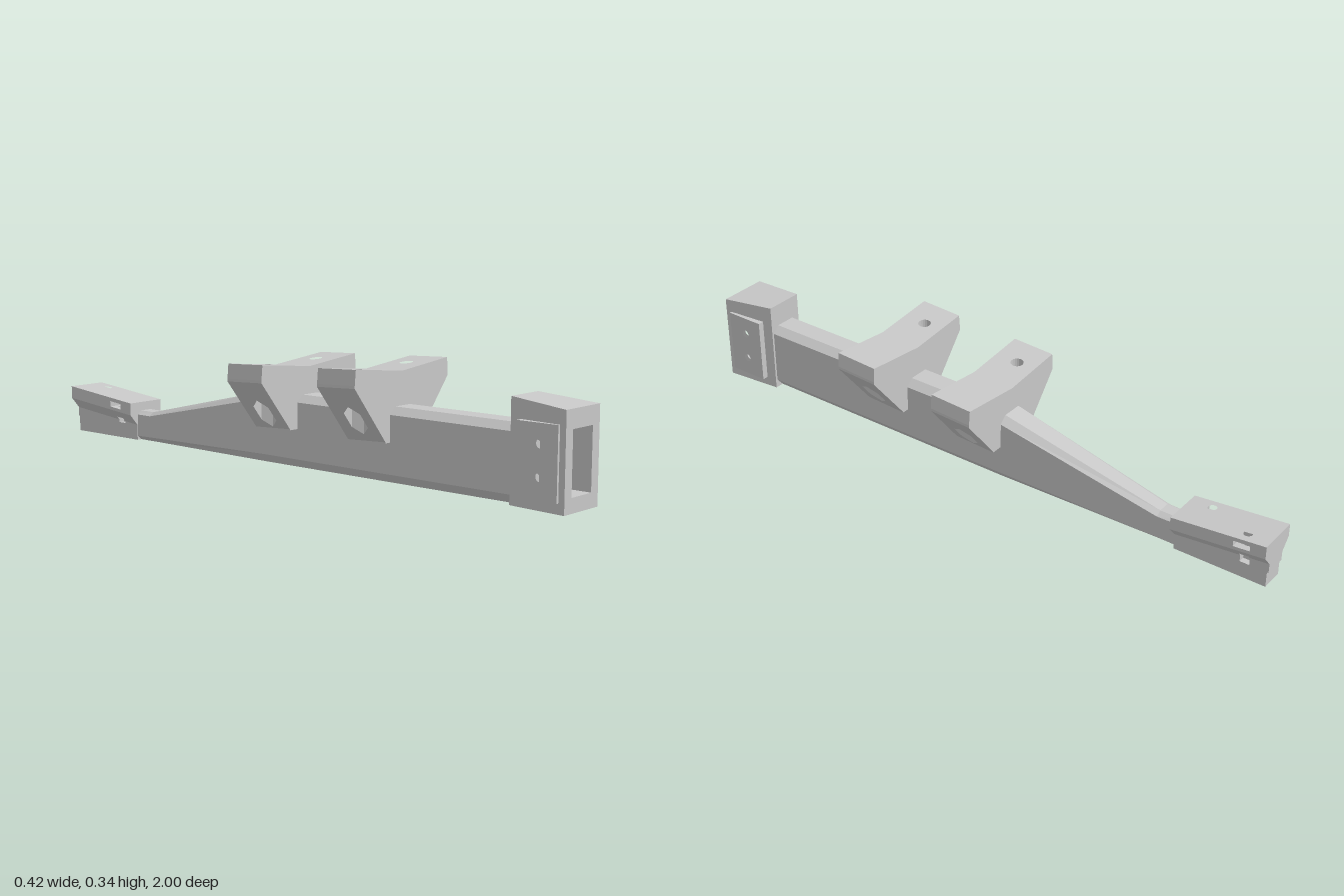
import * as THREE from 'three';

const SLOPE = 0.047; // fore-and-aft rake of the saddles

// regular polygon outline, used for bolt holes and nut pockets
function ngon(cx, cy, r, n) {
  return Array.from({ length: n }, (_, i) => {
    const a = (i / n) * Math.PI * 2;
    return [cx + r * Math.cos(a), cy + r * Math.sin(a)];
  });
}

// unit-deep extrusion of an outline with holes; place(u, v, far) gives each final position
function prism(points, holes, toPlane, place) {
  const toVecs = (list) => list.map((p) => new THREE.Vector2(...toPlane(p)));
  const shape = new THREE.Shape(toVecs(points));
  holes.forEach((h) => shape.holes.push(new THREE.Path(toVecs(h))));
  const geo = new THREE.ExtrudeGeometry(shape, { depth: 1, bevelEnabled: false });
  const p = geo.attributes.position;
  for (let i = 0; i < p.count; i++) {
    p.setXYZ(i, ...place(p.getX(i), p.getY(i), p.getZ(i) > 0.5));
  }
  geo.computeVertexNormals();
  return geo;
}

// layer drawn in (x, z), filled vertically between two surfaces y = f(x, z);
// shrink narrows its upper face
function layer(points, holes, bottom, top, shrink = 1) {
  return prism(points, holes, ([x, z]) => [z, x], (z, x, upper) => {
    const xs = upper ? x * shrink : x;
    return [xs, (upper ? top : bottom)(xs, z), z];
  });
}

// slab drawn in (z, y), filled sideways between two surfaces x = f(z)
function slab(points, holes, x0, x1) {
  return prism(points, holes, ([z, y]) => [-z, y], (u, y, far) => [(far ? x1 : x0)(-u), y, -u]);
}

const rect = (a0, a1, b0, b1) => [[a0, b0], [a1, b0], [a1, b1], [a0, b1]];

// chamfered beam lofted through octagonal sections
function beamGeometry() {
  // z, half width, half flat, top, upper chamfer, lower chamfer
  const sections = [
    [0.82, 0.056, 0.033, 0.222, 0.2, 0.027],
    [-0.1, 0.056, 0.033, 0.222, 0.2, 0.027],
    [-0.64, 0.037, 0.02, 0.097, 0.085, 0.015],
    [-0.72, 0.035, 0.02, 0.097, 0.085, 0.013],
  ];
  const rings = sections.map(([z, w, f, t, u, l]) =>
    [[f, 0], [w, l], [w, u], [f, t], [-f, t], [-w, u], [-w, l], [-f, 0]].map(([x, y]) => [x, y, z]));
  const pos = [];
  for (let s = 0; s < rings.length - 1; s++) {
    const a = rings[s], b = rings[s + 1];
    for (let i = 0; i < 8; i++) {
      const j = (i + 1) % 8;
      pos.push(...a[i], ...b[i], ...b[j], ...a[i], ...b[j], ...a[j]);
    }
  }
  const geo = new THREE.BufferGeometry();
  geo.setAttribute('position', new THREE.Float32BufferAttribute(pos, 3));
  geo.computeVertexNormals();
  return geo;
}

export function createModel() {
  const root = new THREE.Group();
  root.name = 'clampBeam';
  const grey = new THREE.MeshStandardMaterial({ color: 0xc8c8c8 });
  grey.name = 'plain grey';

  const group = (name) => {
    const g = new THREE.Group();
    g.name = name;
    root.add(g);
    return g;
  };
  const add = (parent, name, geo) => {
    const m = new THREE.Mesh(geo, grey);
    m.name = name;
    parent.add(m);
  };

  add(root, 'beam', beamGeometry());

  // hollow front socket: C-shaped core, tapered side walls and raised pads
  const socket = group('frontSocket');
  add(socket, 'socketCore', slab(
    [[1, 0], [1, 0.043], [0.835, 0.043], [0.835, 0.225], [1, 0.225], [1, 0.279], [0.815, 0.296], [0.815, 0]],
    [], () => -0.047, () => 0.047));
  const boltHoles = [0.09, 0.18].map((y) => ngon(0.915, y, 0.013, 16));
  const inner = () => 0.047;
  const outer = (z) => 0.08 - (1 - z) * 0.092;
  const pad = () => 0.086;
  for (const s of [1, -1]) {
    const span = (a, b) => (s > 0 ? [a, b] : [(z) => -b(z), (z) => -a(z)]);
    add(socket, 'socketWall', slab([[1, 0], [1, 0.279], [0.815, 0.296], [0.815, 0]], boltHoles, ...span(inner, outer)));
    add(socket, 'sidePad', slab(rect(0.85, 0.98, 0.03, 0.238), boltHoles, ...span(outer, pad)));
  }

  // two V-shaped saddles with bolt holes opening into hexagonal nut pockets
  const saddleTop = (x, z) => 0.322 + 0.101 * Math.abs(x) + SLOPE * (z - 0.395);
  const saddleMid = (x, z) => saddleTop(x, z) - 0.045;
  const saddleLow = (x, z) => 0.29 + 1.23 * (Math.abs(x) - 0.211) + SLOPE * (z - 0.395);
  const saddles = [['frontSaddle', 0.255, 0.395], ['rearSaddle', -0.102, 0.038]];
  for (const [name, z0, z1] of saddles) {
    const g = group(name);
    const zc = (z0 + z1) / 2;
    const foot = 0.211 - (0.17 + SLOPE * (zc - 0.395)) / 1.23;
    for (const s of [1, -1]) {
      add(g, 'saddleTop', layer(rect(0, s * 0.211, z0, z1),
        [ngon(s * 0.114, zc - 0.007, 0.02, 20)], saddleMid, saddleTop, 0.98));
      add(g, 'saddleWing', layer(rect(s * foot, s * 0.211, z0, z1),
        [ngon(s * 0.128, zc + 0.004, 0.035, 6)], saddleLow, saddleMid));
      add(g, 'saddleCore', layer(rect(0, s * foot, z0, z1), [], () => 0.12, saddleMid));
    }
  }

  // tilted rear head on a narrow foot, with two staggered bolts and nut slots
  const head = group('rearHead');
  const W = 0.067, N = 0.037, BACK = -1, FRONT = -0.7;
  const bolts = [[0.031, -0.925], [-0.035, -0.775]];
  const headTop = (x, z) => 0.125 + 0.1 * (FRONT - z);
  const below = (d) => (x, z) => headTop(x, z) - d;
  const chamfer = (x, z) => headTop(x, z) - 0.04 - 0.035 * (W - Math.abs(x)) / (W - N);
  const notched = (w, i, h) => [
    [-w, BACK], [w, BACK], [w, -0.925 - h], [i, -0.925 - h], [i, -0.925 + h], [w, -0.925 + h],
    [w, FRONT], [-w, FRONT], [-w, -0.775 + h], [-i, -0.775 + h], [-i, -0.775 - h], [-w, -0.775 - h]];
  add(head, 'headPlate', layer(rect(-W, W, BACK, FRONT),
    bolts.map(([x, z]) => ngon(x, z, 0.014, 16)), below(0.012), headTop));
  add(head, 'nutSlotLayer', layer(notched(W, 0.012, 0.026), [], below(0.03), below(0.012)));
  add(head, 'headNeck', layer(notched(N, 0.017, 0.015), [], () => 0.05, below(0.03)));
  for (const [x, z] of bolts) {
    const s = Math.sign(x);
    add(head, 'headChamfer', layer(
      [[W, BACK], [W, FRONT], [N, FRONT], [N, z + 0.015], [0.046, z + 0.015], [0.046, z - 0.015], [N, z - 0.015], [N, BACK]]
        .map(([a, b]) => [s * a, b]), [], chamfer, below(0.03)));
  }
  add(head, 'headFoot', layer(rect(-N, N, -0.995, FRONT), [], () => 0, () => 0.05));

  return root;
}
